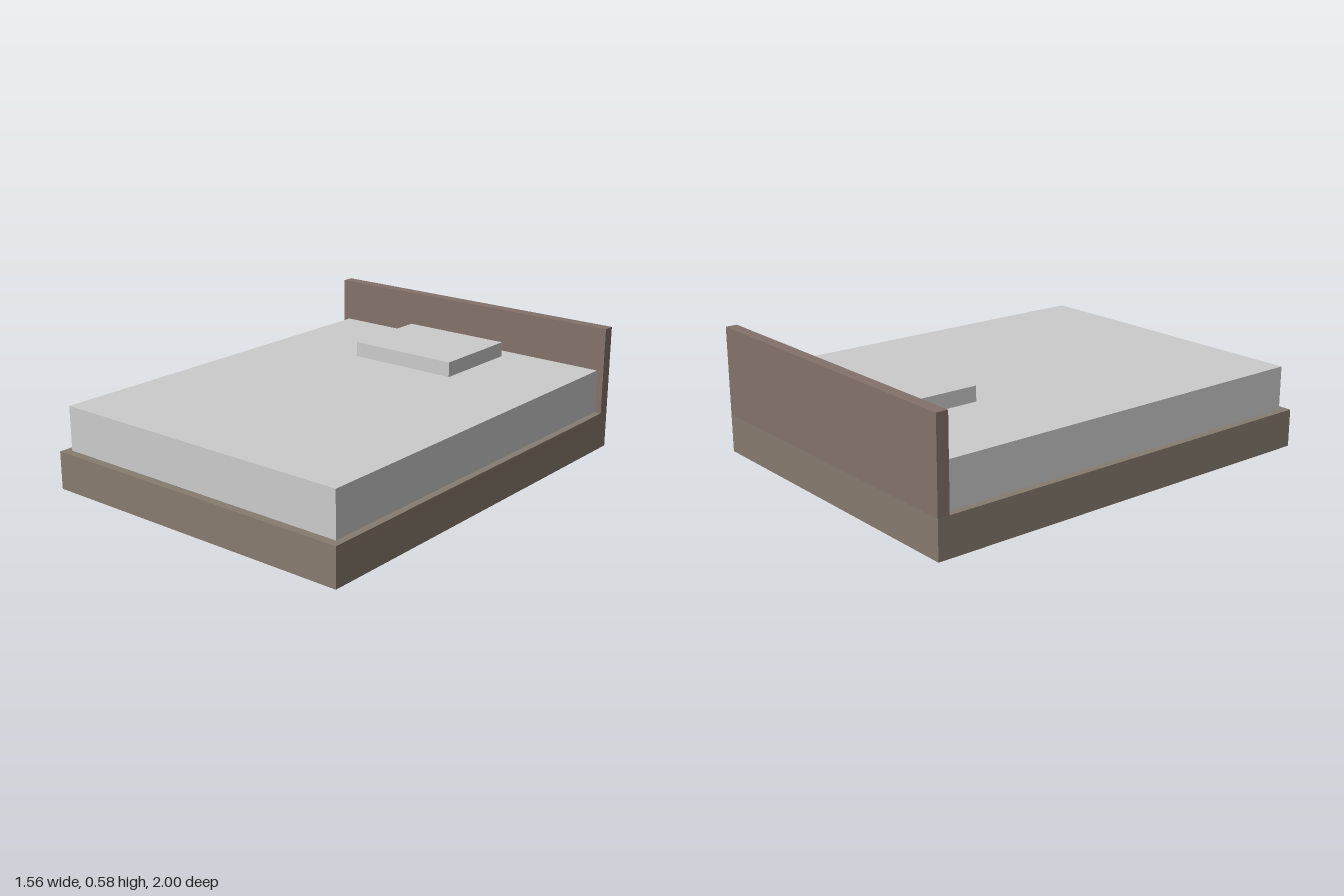
import * as THREE from 'three';

export function createModel() {
  const bed = new THREE.Group();
  bed.name = 'bed';

  const baseWood = new THREE.MeshStandardMaterial({ color: 0x877b6e });
  const headWood = new THREE.MeshStandardMaterial({ color: 0x84726a });
  const fabric = new THREE.MeshStandardMaterial({ color: 0xcccccc });

  // Box centred on x, given its width and its y and z ranges
  function addBox(name, width, [y0, y1], [z0, z1], material) {
    const mesh = new THREE.Mesh(new THREE.BoxGeometry(width, y1 - y0, z1 - z0), material);
    mesh.position.set(0, (y0 + y1) / 2, (z0 + z1) / 2);
    mesh.name = name;
    bed.add(mesh);
  }

  // Solid wooden base, with the headboard standing on its back edge
  addBox('base', 1.56, [0, 0.175], [-1, 1], baseWood);
  addBox('headboard', 1.56, [0.175, 0.585], [-1, -0.945], headWood);

  // Bedding
  addBox('mattress', 1.494, [0.175, 0.38], [-0.945, 0.96], fabric);
  addBox('pillow', 0.544, [0.38, 0.45], [-0.86, -0.42], fabric);

  return bed;
}
